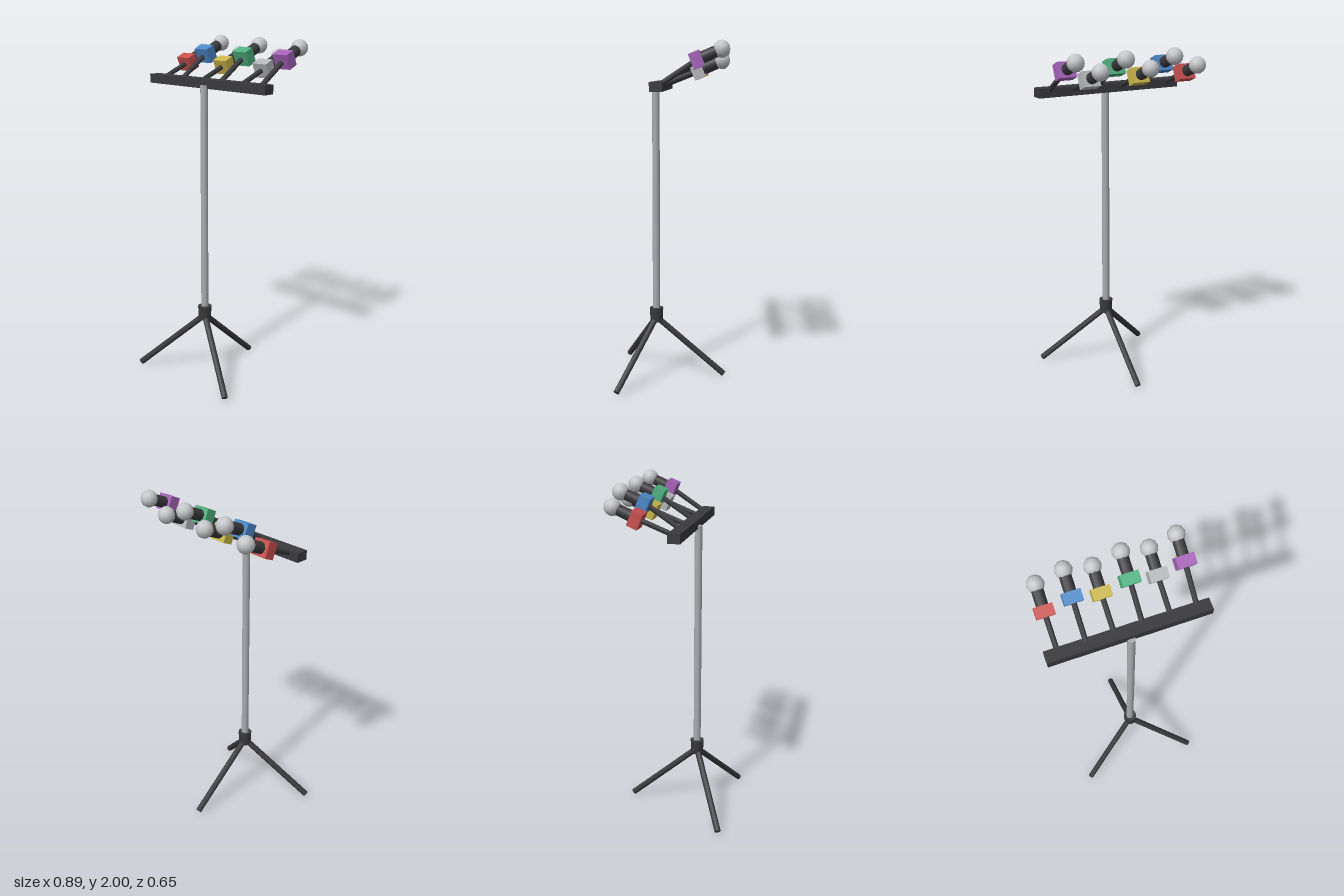
import * as THREE from 'three';

const mat = (name, color) => {
  const m = new THREE.MeshStandardMaterial({ color });
  m.name = name;
  return m;
};

export function createModel() {
  const root = new THREE.Group();
  root.name = 'microphoneStand';

  const dark = mat('dark plastic', 0x3a3a3d);
  const steel = mat('pole steel', 0xa9acb0);
  const grille = mat('grille silver', 0xc4c5c8);
  const flagMats = [
    mat('red', 0xc95050), mat('blue', 0x4c88c8), mat('yellow', 0xc8b549),
    mat('green', 0x4fb181), mat('light grey', 0xb4b7ba), mat('purple', 0xa562b8),
  ];

  const add = (name, geometry, material, parent = root) => {
    const mesh = new THREE.Mesh(geometry, material);
    mesh.name = name;
    parent.add(mesh);
    return mesh;
  };

  // Round rod running from point a to point b
  const rod = (name, a, b, radius, sides, material, parent = root) => {
    const dir = b.clone().sub(a);
    const mesh = add(name, new THREE.CylinderGeometry(radius, radius, dir.length(), sides), material, parent);
    mesh.position.copy(a).add(b).multiplyScalar(0.5);
    mesh.quaternion.setFromUnitVectors(new THREE.Vector3(0, 1, 0), dir.normalize());
    return mesh;
  };
  const V = (x, y, z) => new THREE.Vector3(x, y, z);

  // Tripod: three legs, hub and pole
  const poleZ = 0.105;
  for (let i = 0; i < 3; i++) {
    const a = Math.PI + (i * Math.PI * 2) / 3;
    rod('leg', V(0, 0.365, poleZ),
      V(Math.sin(a) * 0.408, 0.014, poleZ + Math.cos(a) * 0.408), 0.018, 8, dark);
  }
  add('hub', new THREE.CylinderGeometry(0.041, 0.037, 0.085, 10), dark).position.set(0, 0.382, poleZ);
  rod('pole', V(0, 0.38, poleZ), V(0, 1.745, poleZ), 0.022, 12, steel);

  // Cross bar carrying the microphones
  add('crossBar', new THREE.BoxGeometry(0.892, 0.052, 0.07), dark).position.set(0, 1.753, 0.07);

  // Six microphones, alternately low and high
  const xs = [-0.376, -0.225, -0.074, 0.078, 0.23, 0.374];
  const tilt = THREE.MathUtils.degToRad(23);
  xs.forEach((x, i) => {
    const mic = new THREE.Group();
    mic.name = 'microphone';
    root.add(mic);
    const drop = i % 2 ? 0 : 0.058;
    const boxCentre = V(x, 1.895 - drop, -0.145);
    const ballCentre = V(x, 1.952 - drop, -0.277);

    rod('arm', V(x, 1.753, 0.07), boxCentre, 0.0145, 8, dark, mic);
    const flag = add('flag', new THREE.BoxGeometry(0.1, 0.088, 0.062), flagMats[i], mic);
    flag.position.copy(boxCentre);
    flag.rotation.x = tilt;
    rod('neck', boxCentre, ballCentre, 0.032, 12, dark, mic);
    add('grille', new THREE.SphereGeometry(0.048, 10, 8), grille, mic).position.copy(ballCentre);
  });

  return root;
}
